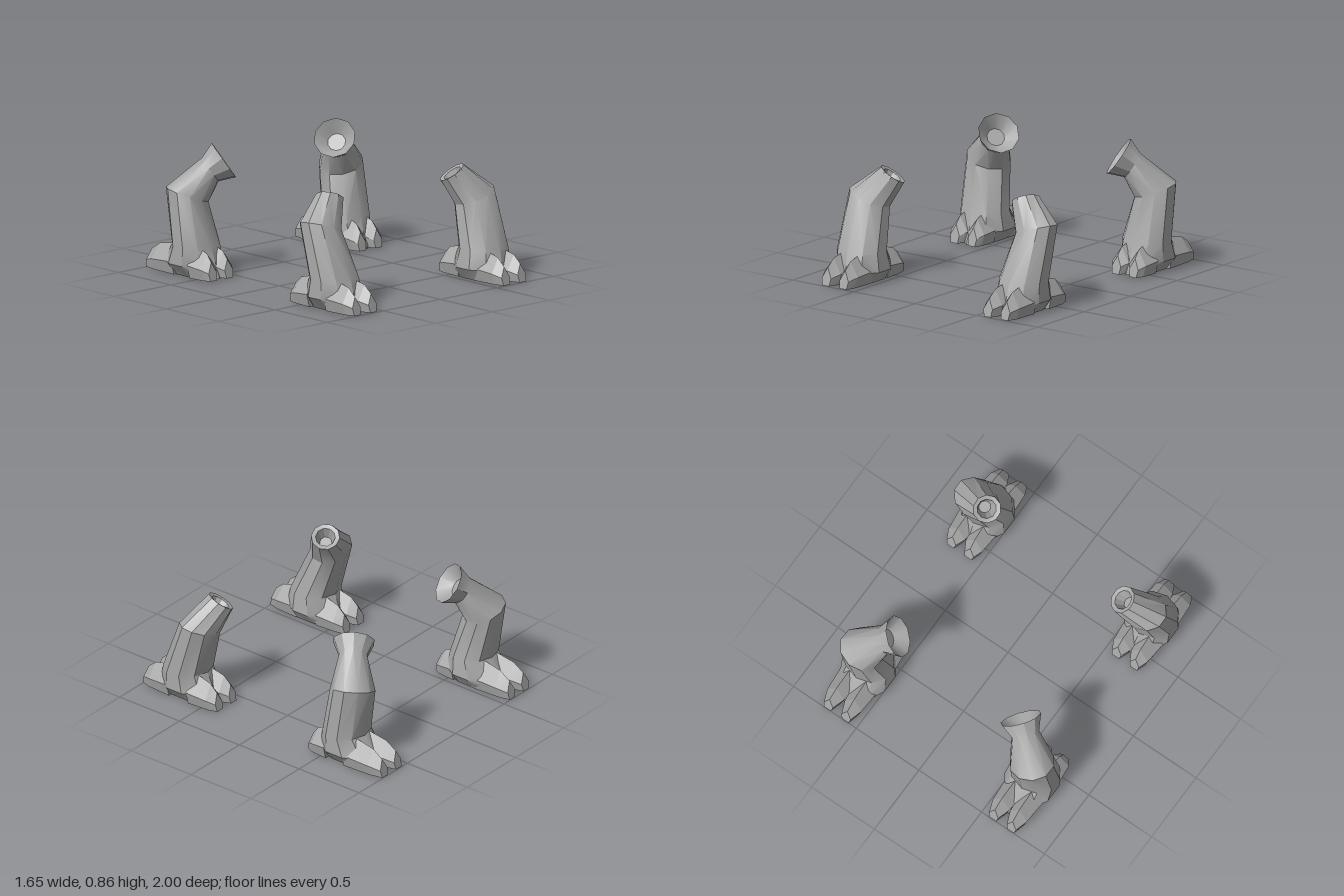
import * as THREE from 'three';
import { toCreasedNormals } from 'three/addons/utils/BufferGeometryUtils.js';

const SIDES = 10;

// Ring of points on a tilted ellipse: centre c, normal n, radii ru (along x) and rv (along z)
function ring(c, n, ru, rv = ru) {
  const N = new THREE.Vector3(...n).normalize();
  const u = new THREE.Vector3(1, 0, 0).addScaledVector(N, -N.x).normalize();
  const v = u.clone().cross(N);
  return Array.from({ length: SIDES }, (_, i) => {
    const a = ((i + 0.5) / SIDES) * Math.PI * 2;
    return new THREE.Vector3(...c).addScaledVector(u, ru * Math.cos(a)).addScaledVector(v, rv * Math.sin(a));
  });
}

// Skin a list of rings and close both ends; side = -1 mirrors across x
function loft(rings, side, crease) {
  const pos = [];
  const tri = (a, b, c) => {
    for (const p of side > 0 ? [a, b, c] : [a, c, b]) pos.push(p.x * side, p.y, p.z);
  };
  const mid = (r) => r.reduce((s, p) => s.add(p), new THREE.Vector3()).divideScalar(r.length);
  const first = rings[0], last = rings[rings.length - 1];
  const c0 = mid(first), c1 = mid(last), n = first.length;
  for (let i = 0; i < n; i++) {
    const j = (i + 1) % n;
    tri(first[i], first[j], c0);
    for (let k = 0; k + 1 < rings.length; k++) {
      const A = rings[k], B = rings[k + 1];
      tri(A[i], B[i], A[j]);
      tri(B[i], B[j], A[j]);
    }
    tri(last[i], c1, last[j]);
  }
  const g = new THREE.BufferGeometry();
  g.setAttribute('position', new THREE.Float32BufferAttribute(pos, 3));
  return toCreasedNormals(g, crease);
}

// Five-sided toe from z0 to z1, pointing along dir
function toeRings(x0, x1, z0, z1) {
  const dir = Math.sign(z1 - z0);
  const profile = [[1, 0.42], [0.75, 0], [-0.75, 0], [-1, 0.42], [0, 1]];
  return [[0, 0.085, 0.205], [0.72, 0.066, 0.17], [1, 0.036, 0.12]].map(([t, w, h]) =>
    profile.map(([u, y]) => new THREE.Vector3(
      x0 + (x1 - x0) * t + u * w * dir,
      0.004 + h * y,
      z0 + (z1 - z0) * t - dir * 0.025 * y * t)));
}

// Front leg: leans back to a small hollow socket
const UP = [0, 1, 0];
const FN = [-0.45, 0.8, -0.3];
const frontRings = [
  ring([0.65, 0, 0.69], UP, 0.115, 0.23),
  ring([0.653, 0.08, 0.69], UP, 0.18, 0.2),
  ring([0.66, 0.2, 0.70], UP, 0.172, 0.16),
  ring([0.68, 0.525, 0.59], [-0.3, 0.94, -0.1], 0.152, 0.13),
  ring([0.54, 0.687, 0.525], FN, 0.094),
  ring([0.543, 0.682, 0.527], FN, 0.065),
  ring([0.575, 0.62, 0.55], FN, 0.04),
];

// Back leg: narrows to a neck, then flares into an open bowl
const BN = [-0.676, 0.568, 0.471];
const backRings = [
  ring([0.65, 0, -0.66], UP, 0.115, 0.25),
  ring([0.653, 0.08, -0.65], UP, 0.18, 0.21),
  ring([0.66, 0.2, -0.625], UP, 0.172, 0.15),
  ring([0.68, 0.525, -0.69], [-0.3, 0.94, 0.15], 0.152, 0.145),
  ring([0.562, 0.686, -0.597], BN, 0.095),
  ring([0.489, 0.746, -0.545], BN, 0.139),
  ring([0.54, 0.703, -0.58], BN, 0.06),
];

export function createModel() {
  const model = new THREE.Group();
  const grey = new THREE.MeshStandardMaterial({ color: 0xa8a8a8, side: THREE.DoubleSide });
  grey.name = 'stone grey';

  const legs = [
    { name: 'Front', rings: frontRings, toeBase: 0.76, toeTip: 1.0, heelBase: 0.6, heelTip: 0.38 },
    { name: 'Back', rings: backRings, toeBase: -0.55, toeTip: -0.38, heelBase: -0.7, heelTip: -1.0 },
  ];

  for (const leg of legs) {
    for (const side of [1, -1]) {
      const group = new THREE.Group();
      group.name = (side > 0 ? 'left' : 'right') + leg.name + 'Leg';
      const add = (name, rings, crease) => {
        const mesh = new THREE.Mesh(loft(rings, side, crease), grey);
        mesh.name = name;
        group.add(mesh);
      };
      add('legBody', leg.rings, 0.55);
      // Two toes forward and two behind
      for (const [x0, x1, label] of [[0.595, 0.588, 'inner'], [0.725, 0.73, 'outer']]) {
        add(label + 'FrontToe', toeRings(x0, x1, leg.toeBase, leg.toeTip), 0.2);
        add(label + 'RearToe', toeRings(x0, x1, leg.heelBase, leg.heelTip), 0.2);
      }
      model.add(group);
    }
  }
  return model;
}
